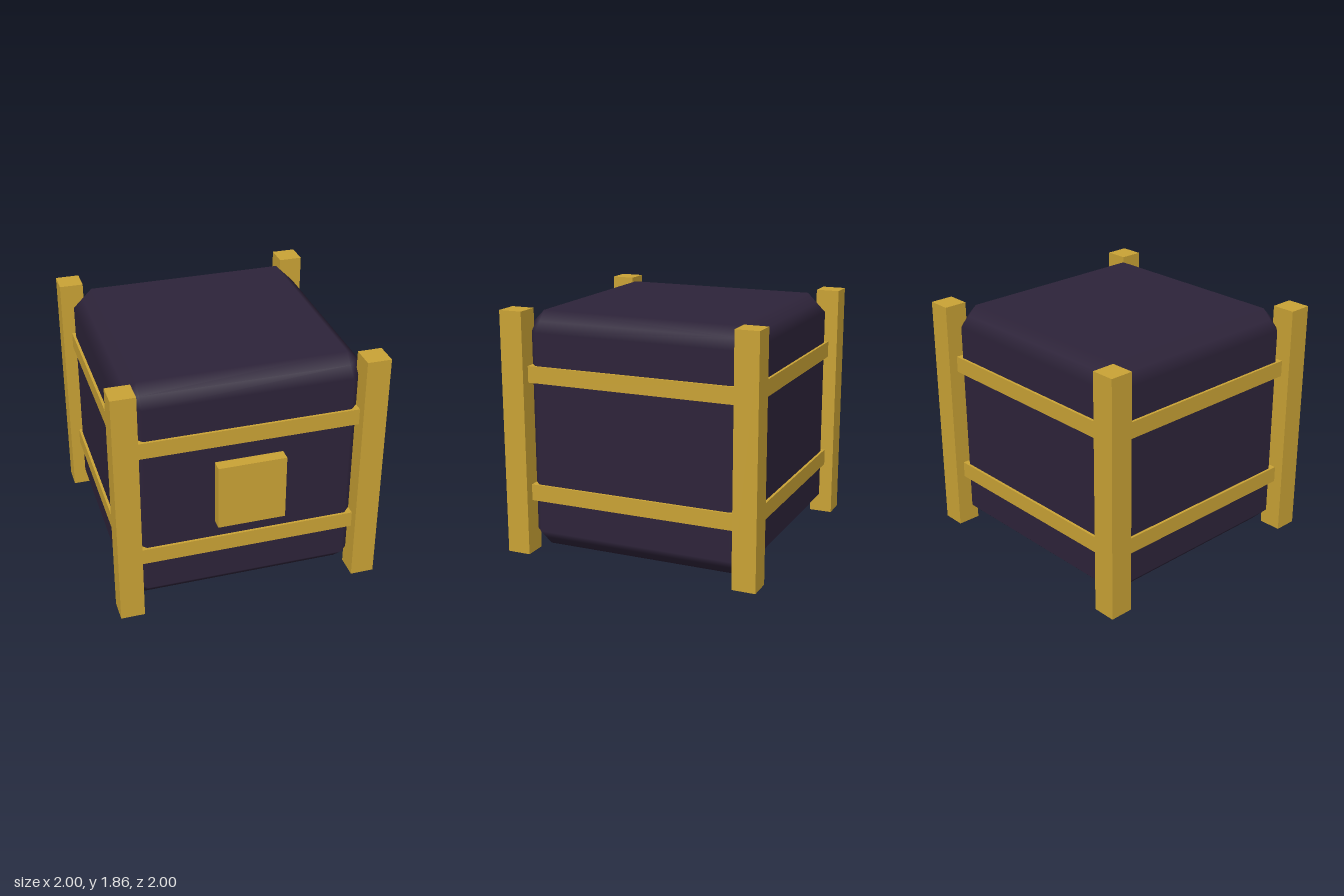
import * as THREE from 'three';

const gold = new THREE.MeshStandardMaterial({ color: 0xc9a235 });
gold.name = 'gold';
const darkPurple = new THREE.MeshStandardMaterial({ color: 0x2d2339 });
darkPurple.name = 'dark purple';

const MID = 0.93; // centre height of the crate

function addBox(group, name, [w, h, d], [x, y, z], material = gold) {
  const mesh = new THREE.Mesh(new THREE.BoxGeometry(w, h, d), material);
  mesh.name = name;
  mesh.position.set(x, y, z);
  group.add(mesh);
  return mesh;
}

// Cube with 45 degree bevels whose normals blend from face to face
function beveledCube(flat, bevel) {
  const geo = new THREE.BoxGeometry(1, 1, 1, 3, 3, 3);
  const pos = geo.attributes.position, nor = geo.attributes.normal;
  const v = new THREE.Vector3(), n = new THREE.Vector3();
  for (let i = 0; i < pos.count; i++) {
    v.fromBufferAttribute(pos, i);
    // Outer grid points lie on one, two or three faces of the cube
    const out = v.toArray().map(c => (Math.abs(c) > 0.4 ? Math.sign(c) : 0));
    const faces = out.filter(c => c !== 0).length;
    const p = v.toArray().map((c, k) => Math.sign(c) * flat + out[k] * bevel / faces);
    pos.setXYZ(i, ...p);
    n.fromArray(out).normalize();
    nor.setXYZ(i, n.x, n.y, n.z);
  }
  return geo;
}

export function createModel() {
  const model = new THREE.Group();
  model.name = 'crate';

  // Beveled body
  const body = new THREE.Mesh(beveledCube(0.765, 0.145), darkPurple);
  body.name = 'body';
  body.position.y = MID;
  model.add(body);

  // Corner posts
  for (const x of [-1, 1]) {
    for (const z of [-1, 1]) {
      addBox(model, 'cornerPost', [0.18, 1.86, 0.18], [x * 0.91, MID, z * 0.91]);
    }
  }

  // Two straps on every side, running from post to post
  for (const y of [MID - 0.455, MID + 0.455]) {
    for (const s of [-1, 1]) {
      addBox(model, 'strap', [1.66, 0.125, 0.1], [0, y, s * 0.88]);
      addBox(model, 'sideStrap', [0.1, 0.125, 1.66], [s * 0.88, y, 0]);
    }
  }

  // Square lock plate on the front
  addBox(model, 'lockPlate', [0.51, 0.51, 0.12], [0, MID, 0.94]);

  return model;
}
